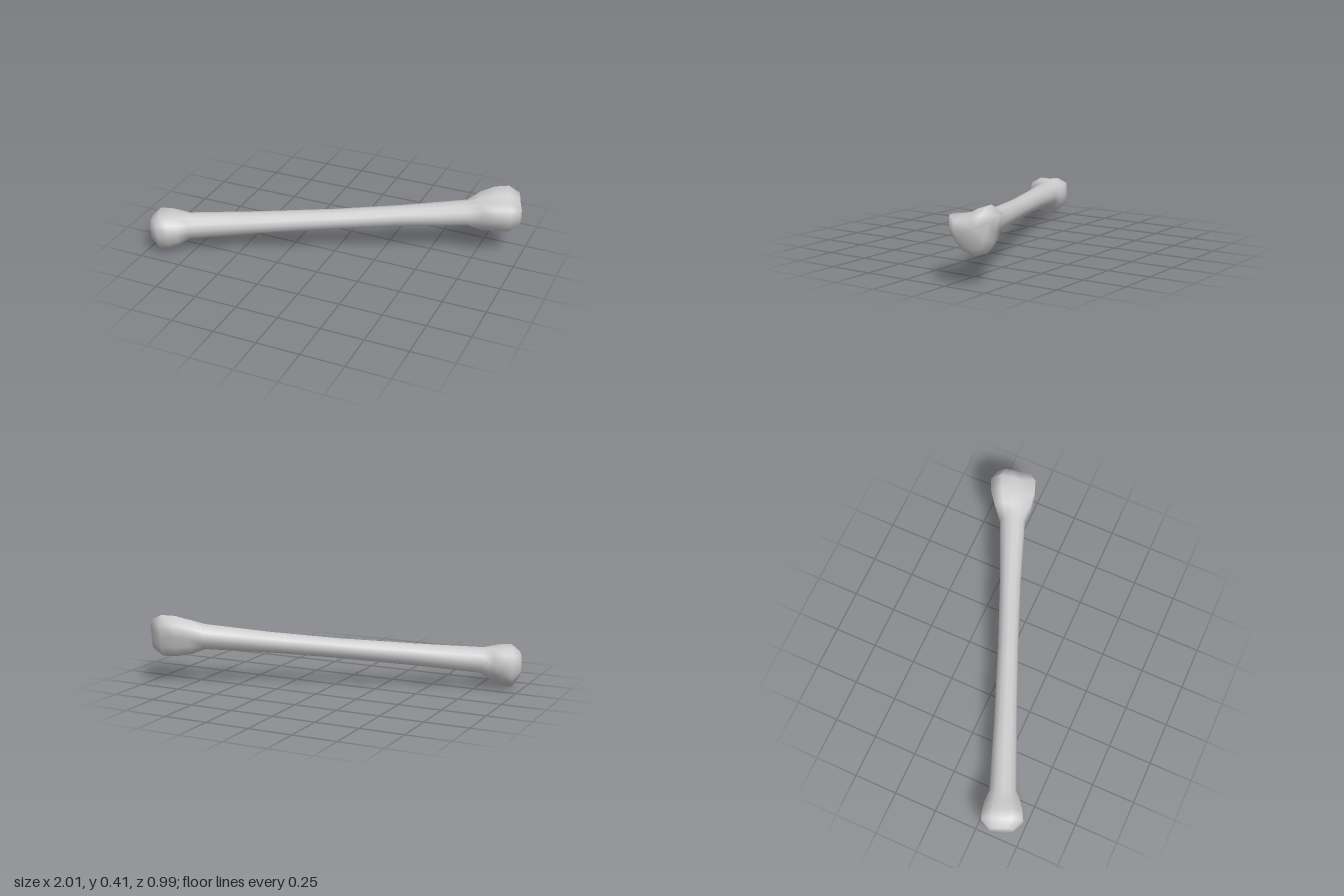
import * as THREE from 'three';

const SIDES = 12;
// Horizontal unit vectors along the bone and across it
const ALONG = new THREE.Vector3(0.926, 0, -0.378);
const ACROSS = new THREE.Vector3(0.378, 0, 0.926);

// Radii every 30 degrees, starting at the front side and turning upwards
const KNOB = [0.118, 0.13, 0.11, 0.09, 0.11, 0.13, 0.118, 0.13, 0.125, 0.145, 0.125, 0.12];
const CONDYLES = [0.13, 0.147, 0.085, 0.1, 0.143, 0.155, 0.105, 0.115, 0.132, 0.132, 0.118, 0.115];

const round = (r) => Array(SIDES).fill(r);
const scale = (radii, k) => radii.map((r) => r * k);
const blend = (a, b, k) => a.map((r, i) => THREE.MathUtils.lerp(r, b[i], k));

// Cross-sections: [distance along the bone, centre height, radii]
const SECTIONS = [
  // narrow end
  [-1.053, 0.15, scale(KNOB, 0.57)],
  [-1.005, 0.146, KNOB],
  [-0.95, 0.148, blend(round(0.075), KNOB, 0.92)],
  [-0.895, 0.15, blend(round(0.075), KNOB, 0.62)],
  // shaft
  [-0.835, 0.157, round(0.076)],
  [-0.44, 0.185, round(0.064)],
  [0, 0.215, round(0.058)],
  [0.38, 0.243, round(0.061)],
  [0.755, 0.27, round(0.074)],
  // wide lobed end
  [0.83, 0.276, blend(round(0.074), CONDYLES, 0.6)],
  [0.91, 0.282, blend(round(0.074), CONDYLES, 0.95)],
  [0.99, 0.284, CONDYLES],
  [1.05, 0.29, scale(CONDYLES, 0.7)],
];

// Skin the cross-sections and close both ends with a fan
function loft(sections, startTip, endTip) {
  const positions = [];
  const index = [];
  const addPoint = (s, y, t) => {
    const p = ALONG.clone().multiplyScalar(s).addScaledVector(ACROSS, t);
    positions.push(p.x, y, p.z);
  };
  for (const [s, y, radii] of sections) {
    radii.forEach((r, j) => {
      const angle = (j / SIDES) * Math.PI * 2;
      addPoint(s, y + r * Math.sin(angle), r * Math.cos(angle));
    });
  }
  addPoint(...startTip);
  addPoint(...endTip);

  const last = (sections.length - 1) * SIDES;
  const start = sections.length * SIDES;
  for (let j = 0; j < SIDES; j++) {
    const k = (j + 1) % SIDES;
    for (let row = 0; row < last; row += SIDES) {
      const a = row + j, b = row + k, c = a + SIDES, d = b + SIDES;
      index.push(a, c, b, b, c, d);
    }
    index.push(start, j, k);
    index.push(start + 1, last + k, last + j);
  }
  const geometry = new THREE.BufferGeometry();
  geometry.setAttribute('position', new THREE.Float32BufferAttribute(positions, 3));
  geometry.setIndex(index);
  geometry.computeVertexNormals();
  return geometry;
}

export function createModel() {
  const group = new THREE.Group();
  group.name = 'bone';
  const material = new THREE.MeshStandardMaterial({ color: 0xcccccc });
  // The wide end is slightly hollow between its lobes
  const bone = new THREE.Mesh(loft(SECTIONS, [-1.053, 0.15, 0], [1.025, 0.295, 0]), material);
  bone.name = 'shaftAndEnds';
  group.add(bone);
  return group;
}
